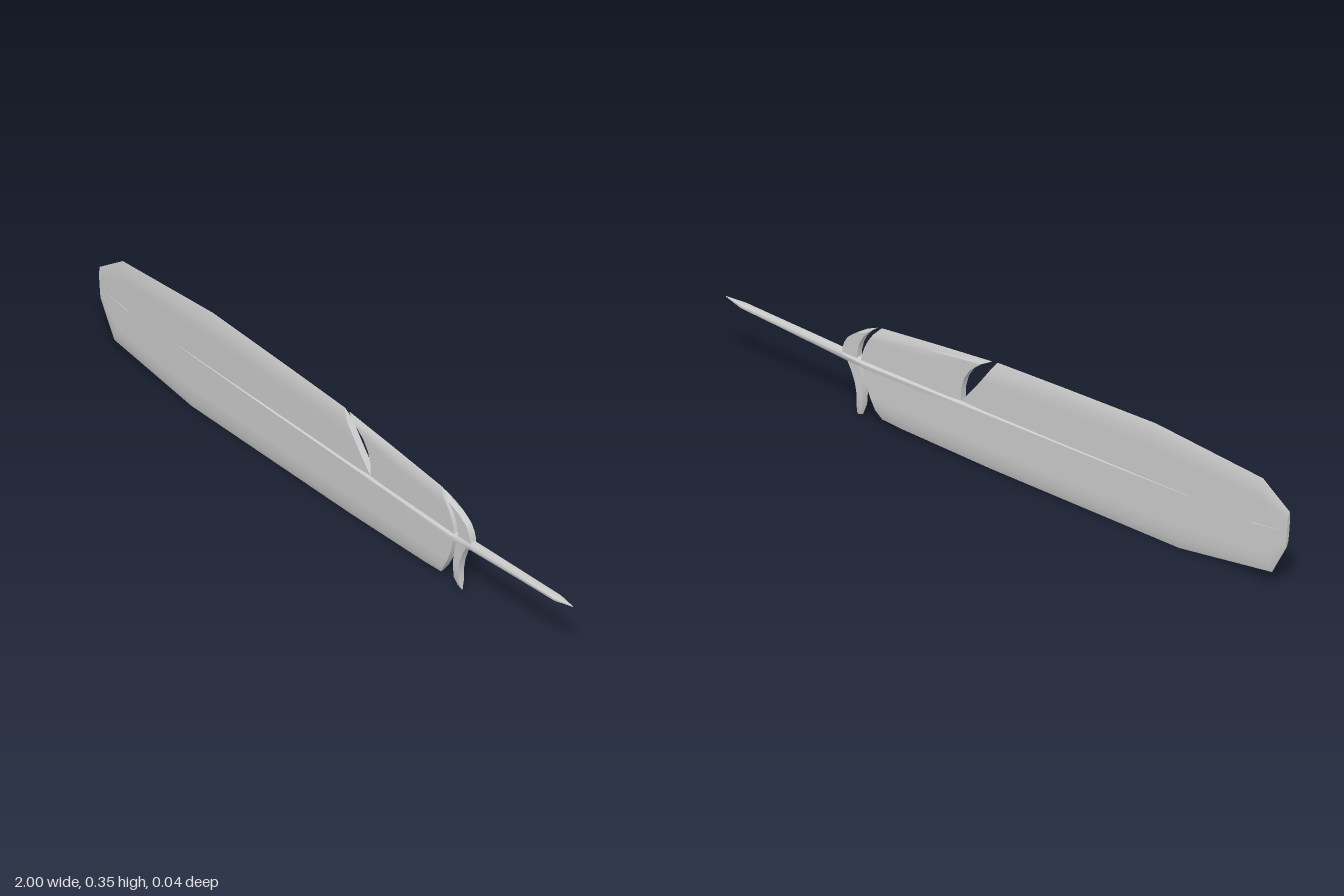
import * as THREE from 'three';
import { toCreasedNormals } from 'three/addons/utils/BufferGeometryUtils.js';

const material = new THREE.MeshStandardMaterial({ color: 0xcccccc });

// Skin a list of closed rings (equal point counts) and cap both ends.
function loft(name, rings, crease) {
  const n = rings[0].length;
  const tris = [];
  const add = (a, b, c) => tris.push([a, b, c]);
  for (let i = 0; i < rings.length - 1; i++) {
    for (let j = 0; j < n; j++) {
      const k = (j + 1) % n;
      const [a, b, c, d] = [rings[i][j], rings[i][k], rings[i + 1][k], rings[i + 1][j]];
      add(a, b, c);
      add(a, c, d);
    }
  }
  // caps: strips between opposite sides of the ring
  const cap = (r, flip) => {
    for (let j = 0; j < n / 2 - 1; j++) {
      const [a, b, c, d] = [r[j], r[j + 1], r[n - 2 - j], r[n - 1 - j]];
      if (flip) { add(a, c, b); add(a, d, c); } else { add(a, b, c); add(a, c, d); }
    }
  };
  cap(rings[0], true);
  cap(rings[rings.length - 1], false);

  // turn the skin outward if the rings ran the other way
  const cross = new THREE.Vector3();
  let volume = 0;
  for (const [a, b, c] of tris) volume += a.dot(cross.crossVectors(b, c));
  const points = tris.flatMap(([a, b, c]) => (volume < 0 ? [a, c, b] : [a, b, c]));
  const geometry = new THREE.BufferGeometry().setFromPoints(points);
  const mesh = new THREE.Mesh(toCreasedNormals(geometry, crease), material);
  mesh.name = name;
  return mesh;
}

// One barb line from root to edge: flat across, then bevelled to a thin rim.
function barbRing([rx, ry, ex, ey, bowX = 0, bowY = 0, half = 0.01]) {
  const length = Math.hypot(ex - rx, ey - ry);
  const bevel = 1 - Math.min(0.35, 0.028 / length);
  const front = [], back = [];
  for (const t of [0, 0.2, 0.4, 0.6, bevel, 1]) {
    const bow = 4 * t * (1 - t);
    const x = rx + (ex - rx) * t + bowX * bow;
    const y = ry + (ey - ry) * t + bowY * bow;
    const z = t === 1 ? 0.001 : half;
    front.push(new THREE.Vector3(x, y, z));
    back.unshift(new THREE.Vector3(x, y, -z));
  }
  return [...front, ...back];
}
const vane = (name, barbs) => loft(name, barbs.map(barbRing), 0.5);

// Shaft station: x, centre height, half height, half depth.
function shaftRing([x, y, ry, rz]) {
  return Array.from({ length: 8 }, (_, i) => {
    const a = ((i + 0.5) / 8) * Math.PI * 2;
    return new THREE.Vector3(x, y + Math.sin(a) * ry, Math.cos(a) * rz);
  });
}

export function createModel() {
  const feather = new THREE.Group();
  feather.name = 'feather';

  // barb lines: root x, root y, edge x, edge y, bow x, bow y, half depth
  feather.add(
    vane('upperVane', [
      [-0.995, 0.19, -1, 0.25, 0, 0, 0.005],
      [-0.86, 0.177, -0.905, 0.319, 0, 0, 0.008],
      [-0.48, 0.177, -0.525, 0.353],
      [-0.1, 0.177, -0.2, 0.347, 0.005],
      [0.155, 0.188, 0.035, 0.341, 0.006, -0.012],
    ]),
    vane('upperVaneBase', [
      [0.156, 0.188, 0.055, 0.338, 0.03, 0.014],
      [0.33, 0.177, 0.25, 0.321, 0.018, 0.008],
      [0.512, 0.18, 0.446, 0.302, 0.012, 0.004],
    ]),
    vane('lowerVane', [
      [-0.995, 0.19, -0.99, 0.14, 0, 0, 0.005],
      [-0.88, 0.177, -0.938, 0.046, 0, 0, 0.008],
      [-0.56, 0.177, -0.61, 0.004],
      [0.1, 0.177, 0.06, 0.011],
      [0.42, 0.177, 0.37, 0.021],
      [0.505, 0.175, 0.443, 0.026, 0.012, 0],
    ]),
  );

  // loose downy barbs beside the quill
  feather.add(
    vane('upperDown', [
      [0.525, 0.18, 0.46, 0.299, 0.018, 0.008],
      [0.55, 0.182, 0.497, 0.283, 0.018, 0.008],
      [0.578, 0.184, 0.53, 0.262, 0.012, 0.006],
    ]),
    vane('lowerDown', [
      [0.52, 0.172, 0.512, 0.019, -0.012, 0],
      [0.54, 0.172, 0.521, 0.016, -0.01, 0],
      [0.562, 0.174, 0.531, 0.013, -0.018, 0],
    ]),
  );

  // shaft thickening toward the bare quill and its pointed end
  feather.add(loft('shaft', [
    [-0.65, 0.179, 0.003, 0.011],
    [-0.4, 0.178, 0.006, 0.015],
    [0.15, 0.177, 0.011, 0.018],
    [0.5, 0.176, 0.014, 0.019],
    [0.575, 0.18, 0.015, 0.015],
    [0.75, 0.19, 0.012, 0.014],
    [0.935, 0.2, 0.009, 0.013],
    [0.998, 0.206, 0.001, 0.001],
  ].map(shaftRing), 0.9));

  return feather;
}
